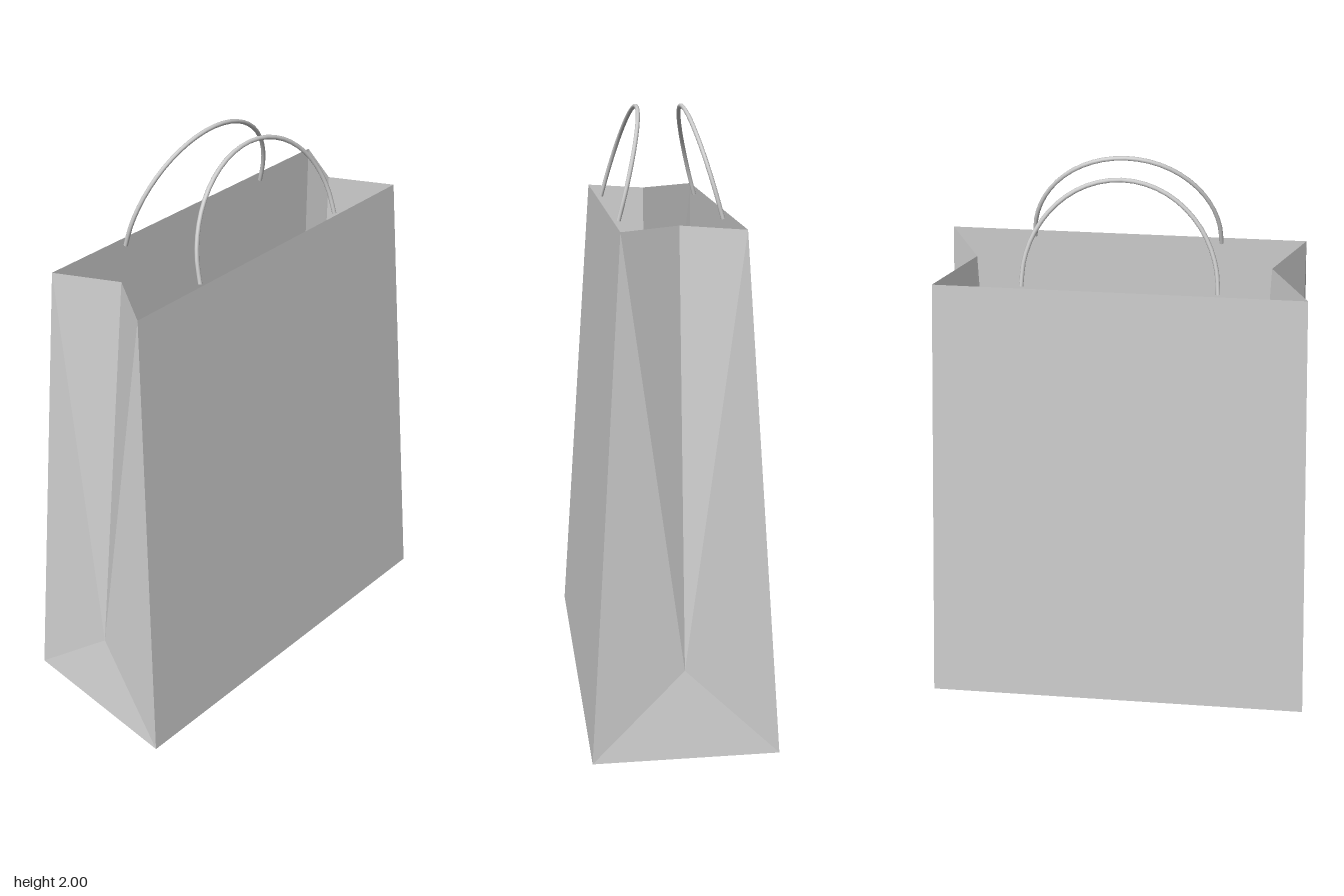
import * as THREE from 'three';

// Flat-faced mesh from polygons, each a convex loop of corners seen from its front
function panelMesh(name, polygons, material) {
  const pos = [];
  for (const p of polygons) {
    for (let i = 1; i < p.length - 1; i++) pos.push(...p[0], ...p[i], ...p[i + 1]);
  }
  const geo = new THREE.BufferGeometry();
  geo.setAttribute('position', new THREE.Float32BufferAttribute(pos, 3));
  geo.computeVertexNormals();
  const mesh = new THREE.Mesh(geo, material);
  mesh.name = name;
  return mesh;
}

// Rotate a polygon half a turn about y, or mirror it in x with its order reversed
const turned = (poly) => poly.map(([x, y, z]) => [-x, y, -z]);
const mirrored = (poly) => poly.map(([x, y, z]) => [-x, y, z]).reverse();

export function createModel() {
  const paper = new THREE.MeshStandardMaterial({ color: 0xcccccc, side: THREE.DoubleSide });
  paper.name = 'paper grey';

  const bag = new THREE.Group();
  bag.name = 'paperBag';

  const H = 1.67;
  const frontFoot = [0.68, 0, 0.3], backFoot = [0.68, 0, -0.3];
  const frontTop = [0.58, H, 0.19], backTop = [0.58, H, -0.19];
  const apex = [0.63, 0.28, 0], fold = [0.47, H, 0];

  // Front and back panels
  const front = [[-0.68, 0, 0.3], frontFoot, frontTop, [-0.58, H, 0.19]];
  bag.add(panelMesh('frontPanel', [front], paper));
  bag.add(panelMesh('backPanel', [turned(front)], paper));

  // Base
  bag.add(panelMesh('base', [[[-0.68, 0, -0.3], backFoot, frontFoot, [-0.68, 0, 0.3]]], paper));

  // Folded side gussets
  const gusset = [
    [frontFoot, backFoot, apex],
    [frontFoot, apex, frontTop],
    [backFoot, backTop, apex],
    [apex, fold, frontTop],
    [apex, backTop, fold],
  ];
  bag.add(panelMesh('leftGusset', gusset, paper));
  bag.add(panelMesh('rightGusset', gusset.map(mirrored), paper));

  // Lining: from the rim down to the inner floor
  const loop = (x, z, mid, y) => [
    [-x, y, z], [x, y, z], [mid, y, 0], [x, y, -z], [-x, y, -z], [-mid, y, 0],
  ];
  const rim = loop(0.58, 0.19, 0.47, H);
  const floor = loop(0.56, 0.172, 0.455, 0.02);
  const walls = rim.map((p, i) => {
    const j = (i + 1) % 6;
    return [p, rim[j], floor[j], floor[i]];
  });
  bag.add(panelMesh('lining', walls, paper));
  const [fl, fr, mr, br, bl, ml] = floor;
  bag.add(panelMesh('innerFloor', [[fl, fr, mr, ml], [ml, mr, br, bl]], paper));

  // Arched cord handles leaning towards each other
  for (const side of [1, -1]) {
    const points = [];
    for (let i = 0; i <= 14; i++) {
      const a = Math.PI * (i / 14);
      const rise = Math.sin(a);
      points.push(new THREE.Vector3(
        0.305 * Math.cos(a), 1.663 + 0.33 * rise, side * (0.165 - 0.09 * rise) + 0.003));
    }
    const curve = new THREE.CatmullRomCurve3(points);
    const handle = new THREE.Mesh(new THREE.TubeGeometry(curve, 28, 0.007, 8), paper);
    handle.name = side > 0 ? 'frontHandle' : 'backHandle';
    bag.add(handle);
  }

  return bag;
}
